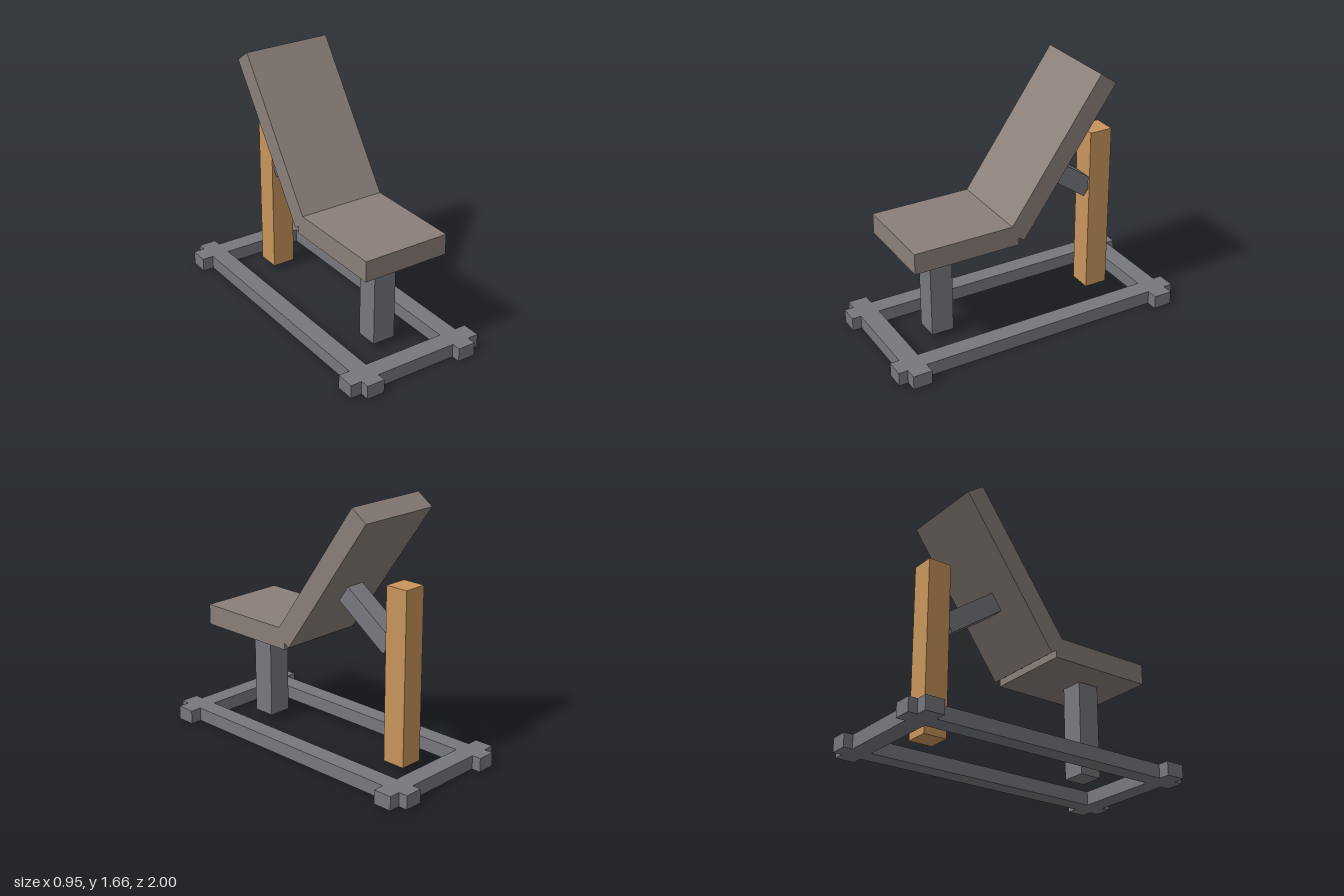
import * as THREE from 'three';

export function createModel() {
  const group = new THREE.Group();
  group.name = 'inclineBench';

  const steel = new THREE.MeshStandardMaterial({ color: 0x77787e });
  const padding = new THREE.MeshStandardMaterial({ color: 0x8a7f79 });
  const wood = new THREE.MeshStandardMaterial({ color: 0xc8955c });

  // Adds a box by size and centre, optionally tilted about x
  function addBox(name, material, [w, h, d], [x, y, z], tilt = 0) {
    const mesh = new THREE.Mesh(new THREE.BoxGeometry(w, h, d), material);
    mesh.name = name;
    mesh.position.set(x, y, z);
    mesh.rotation.x = tilt;
    group.add(mesh);
  }

  // Base frame: two long rails crossed by two bars near their ends
  const frameHeight = 0.09;
  for (const [side, s] of [['left', 1], ['right', -1]]) {
    addBox(`${side}Rail`, steel, [0.12, frameHeight, 2], [s * 0.34, frameHeight / 2, 0]);
  }
  for (const [end, s] of [['front', 1], ['back', -1]]) {
    addBox(`${end}Crossbar`, steel, [0.95, frameHeight, 0.125], [0, frameHeight / 2, s * 0.878]);
  }

  // Upright posts, starting at mid-height of the frame
  addBox('seatPost', steel, [0.155, 0.63, 0.15], [0, 0.36, 0.54]);
  addBox('backPost', wood, [0.155, 1.125, 0.155], [0, 0.6075, -0.613]);

  // Seat and reclined backrest
  const recline = -0.615;
  addBox('seat', padding, [0.58, 0.135, 0.705], [0, 0.7245, 0.4625]);
  addBox('backrest', padding, [0.58, 1.104, 0.134], [0, 1.1675, -0.19], recline);

  // Strut at right angles to the backrest, joining it to the back post
  addBox('backrestStrut', steel, [0.13, 0.125, 0.5], [0, 0.925, -0.336], recline);

  return group;
}
